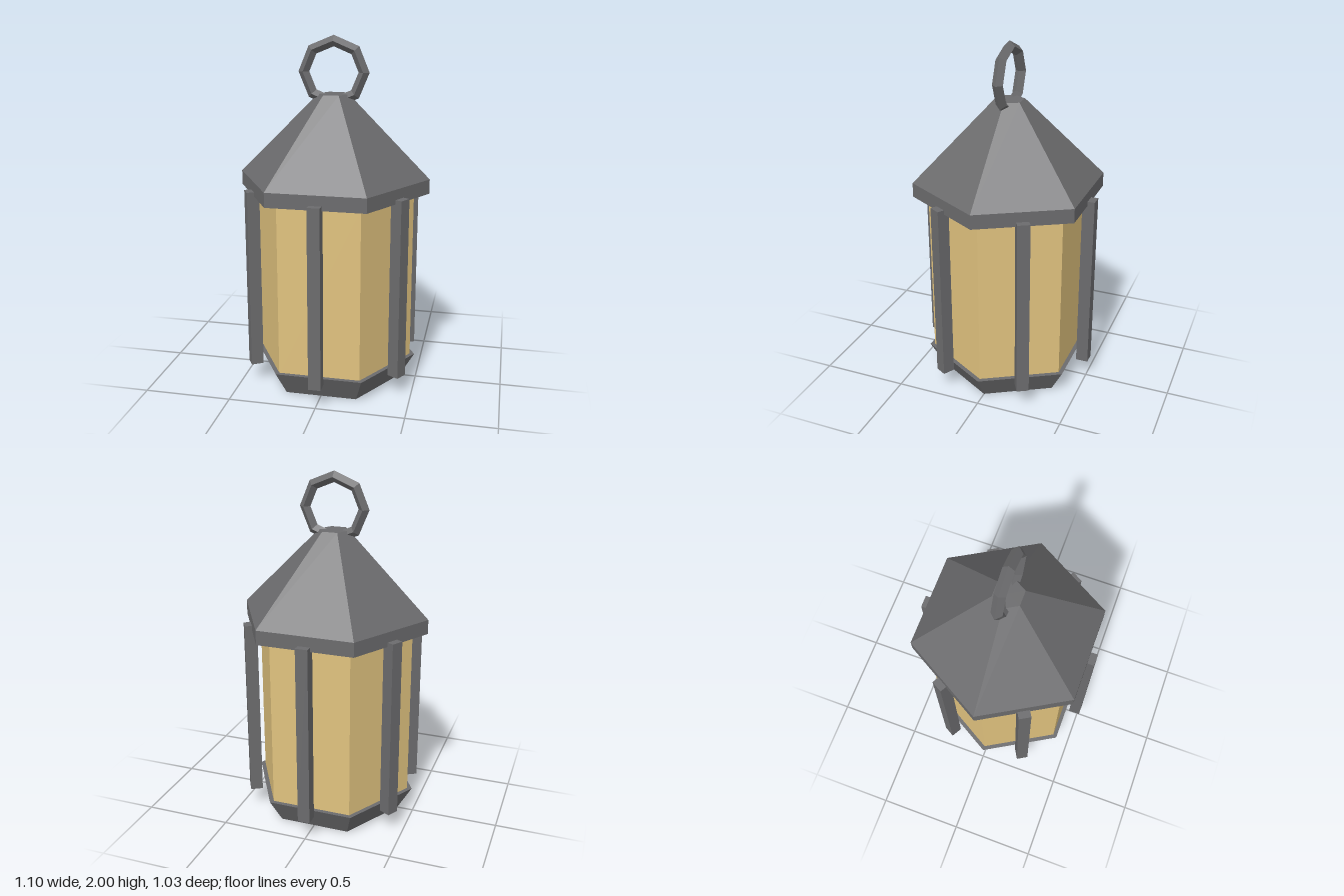
import * as THREE from 'three';

export function createModel() {
  const model = new THREE.Group();
  const iron = new THREE.MeshStandardMaterial({ color: 0x6b6b6d, flatShading: true });
  iron.name = 'dark iron';
  const amber = new THREE.MeshStandardMaterial({ color: 0xe0c27e, flatShading: true });
  amber.name = 'amber glass';

  const add = (name, geometry, material, parent = model) => {
    const mesh = new THREE.Mesh(geometry, material);
    mesh.name = name;
    parent.add(mesh);
    return mesh;
  };

  // Six-sided drum between two heights, with corners on the x axis
  const hexDrum = (name, rBottom, rTop, y0, y1, material) => {
    const geometry = new THREE.CylinderGeometry(rTop, rBottom, y1 - y0, 6, 1, false, Math.PI / 6);
    return add(name, geometry.translate(0, (y0 + y1) / 2, 0), material);
  };

  hexDrum('base', 0.405, 0.49, 0, 0.145, iron);
  hexDrum('glass', 0.462, 0.462, 0.14, 1.14, amber);
  hexDrum('roofRim', 0.548, 0.548, 1.135, 1.217, iron);
  hexDrum('roof', 0.548, 0.087, 1.217, 1.68, iron);

  // One upright bar in front of the middle of each pane
  const bars = new THREE.Group();
  bars.name = 'bars';
  model.add(bars);
  const barGeometry = new THREE.BoxGeometry(0.07, 1.04, 0.07).translate(0, 0.64, 0.48);
  for (let i = 0; i < 6; i++) {
    add('bar', barGeometry, iron, bars).rotation.y = (i * Math.PI) / 3;
  }

  // Eight-sided hanging ring with a diamond section, sunk into the roof
  add('hangingRing', new THREE.TorusGeometry(0.17, 0.031, 4, 8), iron).position.y = 1.8;

  return model;
}
